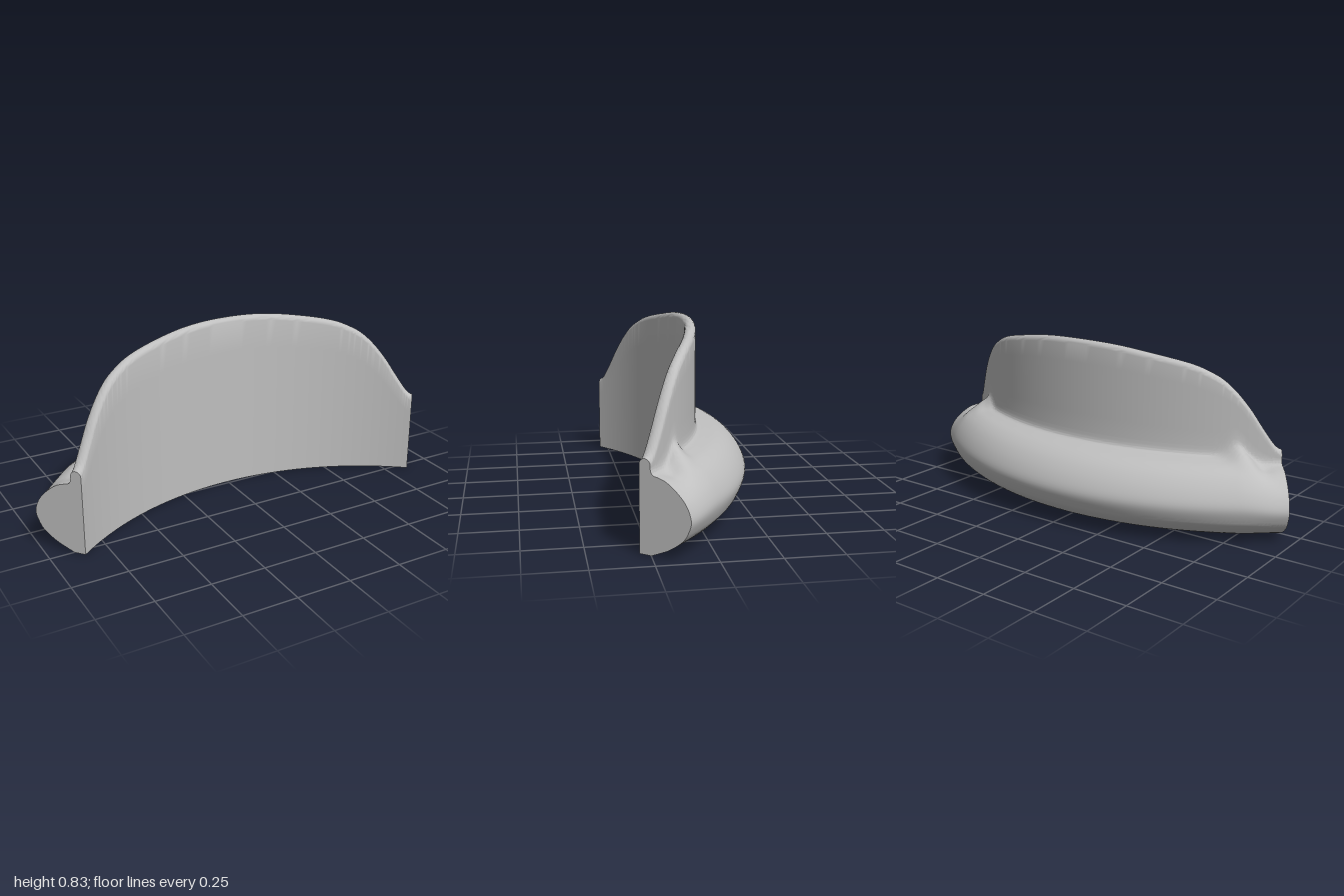
import * as THREE from 'three';
import { toCreasedNormals } from 'three/addons/utils/BufferGeometryUtils.js';

const R = 1.356;        // plan radius of the front face
const CENTRE_Z = 1.343; // centre of the plan arc
const WALL = 0.05;      // wall thickness
const DEG = Math.PI / 180;

// Back roll profiles: [share of roll depth, height], mid-span and at the ends
const MID = [[0, 0.4], [0.015, 0.372], [0.06, 0.357], [0.2, 0.349], [0.46, 0.333], [0.7, 0.298], [0.9, 0.242],
  [1, 0.18], [0.92, 0.12], [0.8, 0.083], [0.55, 0.042], [0.2, 0.01], [0, 0]];
const END = [[0, 0.348], [0.02, 0.333], [0.08, 0.322], [0.22, 0.316], [0.42, 0.302], [0.68, 0.266], [0.89, 0.222],
  [1, 0.165], [0.92, 0.115], [0.78, 0.078], [0.48, 0.038], [0.2, 0.014], [0.02, 0]];

// Height of the wall along x, mirrored
const half = [[0.2, 0.818], [0.4, 0.788], [0.53, 0.759], [0.61, 0.724], [0.66, 0.69], [0.71, 0.636],
  [0.76, 0.563], [0.8, 0.49], [0.84, 0.418], [0.86, 0.392], [0.872, 0.385]];
const crest = new THREE.SplineCurve([
  ...half.map(([x, y]) => new THREE.Vector2(-x, y)).reverse(),
  new THREE.Vector2(0, 0.826),
  ...half.map(([x, y]) => new THREE.Vector2(x, y)),
]);

const bell = (v) => Math.exp(-v * v);

// Closed cross-section [depth, height] at one angle of the arc
function section(theta, top) {
  const a = Math.abs(theta) / DEG;
  const t = THREE.MathUtils.smoothstep(a, 31, 38.5);
  const reach = 0.192 * Math.cos(theta) + Math.sqrt(1.442 ** 2 - (0.192 * Math.sin(theta)) ** 2) - R - WALL;
  const pts = [];
  // front face
  for (let i = 0; i < 6; i++) pts.push(new THREE.Vector2(0, (top - 0.025) * i / 6));
  // rounded rim
  for (let i = 0; i <= 10; i++) {
    const p = Math.PI * (1 - i / 10);
    pts.push(new THREE.Vector2(0.025 + 0.025 * Math.cos(p), top - 0.025 + 0.025 * Math.sin(p)));
  }
  // roll, with a diagonal fold and a shallow pocket near each end
  const knots = MID.map(([u0, y0], k) => {
    const u = THREE.MathUtils.lerp(u0, END[k][0], t);
    let y = THREE.MathUtils.lerp(y0, END[k][1], t);
    if (k < 6) {
      y += 0.06 * Math.pow(1 - u, 3) * bell((a - 30.5 - 7 * u) / 2.2);
      y -= 0.02 * bell((a - 35.5) / 1.8) * bell((u - 0.3) / 0.25);
    }
    return new THREE.Vector2(WALL + u * reach, y);
  });
  // back of the wall down to the roll
  for (let i = 1; i < 5; i++) {
    pts.push(new THREE.Vector2(WALL, THREE.MathUtils.lerp(top - 0.025, knots[0].y, i / 5)));
  }
  for (const p of new THREE.SplineCurve(knots).getPoints(60)) {
    pts.push(new THREE.Vector2(p.x, Math.max(0, p.y)));
  }
  return pts;
}

// Sweeps the changing cross-section along the arc and caps both ends
function sweptGeometry(steps) {
  const positions = [], index = [];
  let n = 0, first, last;
  crest.getPoints(steps).forEach((p, i) => {
    const theta = Math.asin(p.x / (R + WALL / 2));
    const ring = section(theta, p.y);
    n = ring.length;
    if (i === 0) first = ring;
    last = ring;
    for (const q of ring) {
      const r = R + q.x;
      positions.push(r * Math.sin(theta), q.y, CENTRE_Z - r * Math.cos(theta));
    }
  });
  for (let i = 0; i < steps; i++) {
    for (let j = 0; j < n; j++) {
      const k = (j + 1) % n;
      const a = i * n + j, b = a + n, c = (i + 1) * n + k, d = i * n + k;
      index.push(a, b, c, a, c, d);
    }
  }
  const cap = (ring, start, flip) => {
    for (const f of THREE.ShapeUtils.triangulateShape([...ring].reverse(), [])) {
      const [a, b, c] = f.map((v) => start + n - 1 - v);
      index.push(...(flip ? [a, c, b] : [a, b, c]));
    }
  };
  cap(first, 0, true);
  cap(last, steps * n, false);
  const geometry = new THREE.BufferGeometry();
  geometry.setAttribute('position', new THREE.Float32BufferAttribute(positions, 3));
  geometry.setIndex(index);
  return toCreasedNormals(geometry, 0.7);
}

export function createModel() {
  const group = new THREE.Group();
  group.name = 'curvedBackrest';
  const grey = new THREE.MeshStandardMaterial({ color: 0xbfbfbf });
  grey.name = 'plain grey';
  const body = new THREE.Mesh(sweptGeometry(176), grey);
  body.name = 'curvedWallWithRoll';
  group.add(body);
  return group;
}
